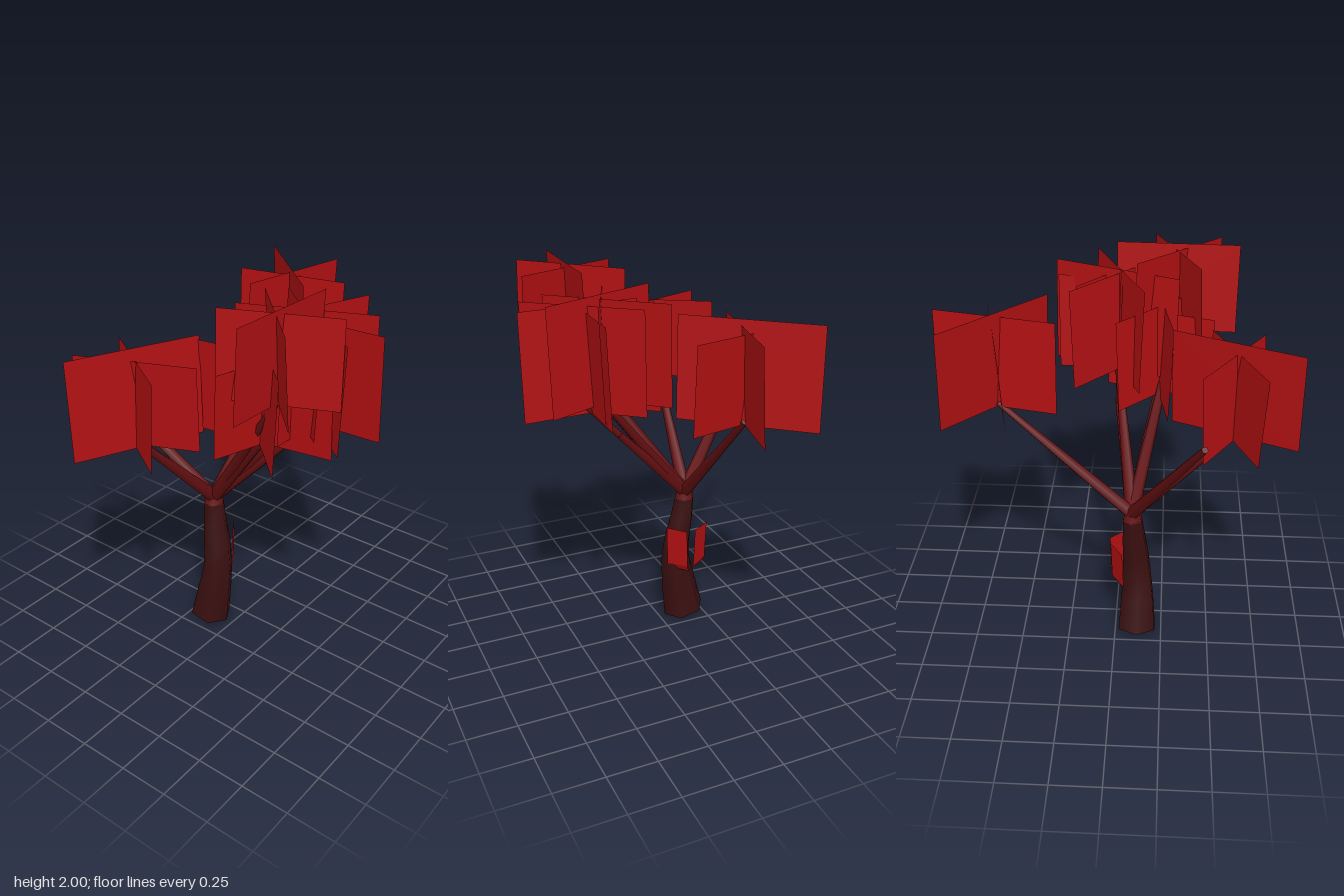
import * as THREE from 'three';

const bark = new THREE.MeshStandardMaterial({ color: 0x3a0f10 });
bark.name = 'dark bark';
const wood = new THREE.MeshStandardMaterial({ color: 0x640f11 });
wood.name = 'red wood';
const leaf = new THREE.MeshStandardMaterial({ color: 0xb01012, side: THREE.DoubleSide });
leaf.name = 'crimson leaf';

const V = (x, y, z) => new THREE.Vector3(x, y, z);

function add(parent, name, geometry, material) {
  const mesh = new THREE.Mesh(geometry, material);
  mesh.name = name;
  parent.add(mesh);
  return mesh;
}

// Hexagonal loft: each ring is [x, y, z, radius, slope in x]
function loft(rings, sides = 6) {
  const pos = [], idx = [];
  for (const [x, y, z, r, slope] of rings) {
    for (let i = 0; i < sides; i++) {
      const a = (i / sides) * Math.PI * 2;
      const dx = Math.cos(a) * r;
      pos.push(x + dx, y + dx * slope, z + Math.sin(a) * r);
    }
  }
  for (let k = 0; k < rings.length - 1; k++) {
    for (let i = 0; i < sides; i++) {
      const a = k * sides + i, b = k * sides + (i + 1) % sides;
      idx.push(a, a + sides, b, b, a + sides, b + sides);
    }
  }
  // Closed ends, with their own corners so the rims stay sharp
  for (const [k, top] of [[0, false], [rings.length - 1, true]]) {
    const start = pos.length / 3;
    pos.push(...pos.slice(k * sides * 3, (k + 1) * sides * 3));
    for (let i = 1; i < sides - 1; i++) {
      idx.push(start, start + (top ? i + 1 : i), start + (top ? i : i + 1));
    }
  }
  const g = new THREE.BufferGeometry();
  g.setAttribute('position', new THREE.Float32BufferAttribute(pos, 3));
  g.setIndex(idx);
  g.computeVertexNormals();
  return g;
}

// Tapered stick between two points
function stick(parent, name, a, b, r0, r1) {
  const dir = b.clone().sub(a);
  const mesh = add(parent, name, new THREE.CylinderGeometry(r1, r0, dir.length(), 6), wood);
  mesh.position.copy(a).add(b).multiplyScalar(0.5);
  mesh.quaternion.setFromUnitVectors(V(0, 1, 0), dir.normalize());
}

// Flat strip through pairs of points
function strip(pairs) {
  const pos = [], idx = [];
  pairs.forEach(([a, b], i) => {
    pos.push(...a.toArray(), ...b.toArray());
    if (i) {
      const k = i * 2;
      idx.push(k - 2, k - 1, k, k, k - 1, k + 1);
    }
  });
  const g = new THREE.BufferGeometry();
  g.setAttribute('position', new THREE.Float32BufferAttribute(pos, 3));
  g.setIndex(idx);
  const flat = g.toNonIndexed();
  flat.computeVertexNormals();
  return flat;
}

// Upright leaf sheet over a ground line, leaning slightly along its normal
function leafSheet(parent, [x0, z0, x1, z1, top], bottom) {
  const d = V(x1 - x0, 0, z1 - z0).normalize();
  const n = V(-d.z, 0, d.x).multiplyScalar(0.011);
  add(parent, 'leafSheet', strip([
    [V(x0 - n.x, bottom, z0 - n.z), V(x1 - n.x, bottom, z1 - n.z)],
    [V(x0 + n.x, top, z0 + n.z), V(x1 + n.x, top, z1 + n.z)],
  ]), leaf);
}

export function createModel() {
  const tree = new THREE.Group();
  tree.name = 'tree';

  // Bent trunk with a slanted foot
  add(tree, 'trunk', loft([
    [-0.148, 0.027, 0.118, 0.112, -0.2],
    [-0.118, 0.2, 0.117, 0.098, -0.15],
    [-0.096, 0.36, 0.112, 0.083, 0],
    [-0.103, 0.48, 0.105, 0.075, 0.15],
    [-0.124, 0.61, 0.095, 0.065, 0.12],
    [-0.137, 0.73, 0.088, 0.054, 0],
  ]), bark);
  add(tree, 'crownCollar', loft([
    [-0.137, 0.725, 0.088, 0.055, 0],
    [-0.137, 0.79, 0.085, 0.04, 0],
  ]), wood);

  // Branches spreading from the top of the trunk
  const fork = V(-0.137, 0.76, 0.085);
  const tips = [
    V(-0.735, 1.505, 0.41), V(-0.125, 1.38, -0.57), V(-0.2, 1.28, 0.57),
    V(0.27, 1.28, 0.2), V(0.41, 1.57, 0.285), V(0.34, 1.36, -0.01),
  ];
  for (const tip of tips) stick(tree, 'branch', fork, tip, 0.036, 0.016);
  const elbow = V(0.265, 1.18, 0.0);
  stick(tree, 'bentBranch', fork, elbow, 0.034, 0.02);
  stick(tree, 'bentBranchTip', elbow, V(0.44, 1.36, -0.01), 0.02, 0.015);

  // Leaf clusters: three crossing sheets [x0, z0, x1, z1, top] above a bottom height
  const clusters = [
    ['backLeaves', 1.36, [
      [-0.39, -0.79, 0.11, -0.345, 1.85], [-0.185, -0.275, -0.05, -0.87, 1.82],
      [0.155, -0.63, -0.41, -0.5, 1.79]]],
    ['frontLeaves', 1.255, [
      [0.04, 0.72, -0.45, 0.41, 1.69], [-0.05, 0.27, -0.32, 0.865, 1.75],
      [-0.465, 0.68, 0.08, 0.45, 1.69]]],
    ['topLeaves', 1.545, [
      [0.4, 0.59, 0.427, -0.02, 2.0], [0.19, 0.08, 0.6, 0.5, 1.98],
      [0.67, 0.18, 0.15, 0.405, 1.97]]],
    ['lowLeaves', 1.26, [
      [-0.06, 0.265, 0.61, 0.155, 1.73], [0.5, 0.435, 0.04, 0.0, 1.73],
      [0.19, 0.47, 0.36, -0.06, 1.69]]],
    ['leftLeaves', 1.32, [
      [0.15, 0.01, 0.75, -0.025, 1.85], [0.41, 0.28, 0.43, -0.32, 1.82],
      [0.68, 0.19, 0.2, -0.2, 1.85]]],
    ['innerLeaves', 1.36, [
      [0.04, 0.12, 0.65, -0.14, 1.89], [0.21, 0.29, 0.47, -0.335, 1.89],
      [0.56, 0.2, 0.08, -0.225, 1.87]]],
  ];
  for (const [name, bottom, sheets] of clusters) {
    const cluster = new THREE.Group();
    cluster.name = name;
    sheets.forEach((s) => leafSheet(cluster, s, bottom));
    tree.add(cluster);
  }

  // Bark plates on the back of the trunk, each with a folded lower lip
  const plates = [[-0.25, 0.04, -0.15, -0.025], [-0.1, -0.03, -0.022, 0.06]];
  for (const [x0, z0, x1, z1] of plates) {
    const d = V(x1 - x0, 0, z1 - z0).normalize();
    const inward = V(-d.z, 0, d.x).multiplyScalar(0.03);
    const a = (y, k) => V(x0 + inward.x * k, y, z0 + inward.z * k);
    const b = (y, k) => V(x1 + inward.x * k, y, z1 + inward.z * k);
    add(tree, 'barkPlate', strip([
      [a(0.325, 1), b(0.325, 1)], [a(0.36, 0.35), b(0.36, 0.35)], [a(0.575, 0), b(0.575, 0)],
    ]), leaf);
  }

  return tree;
}
